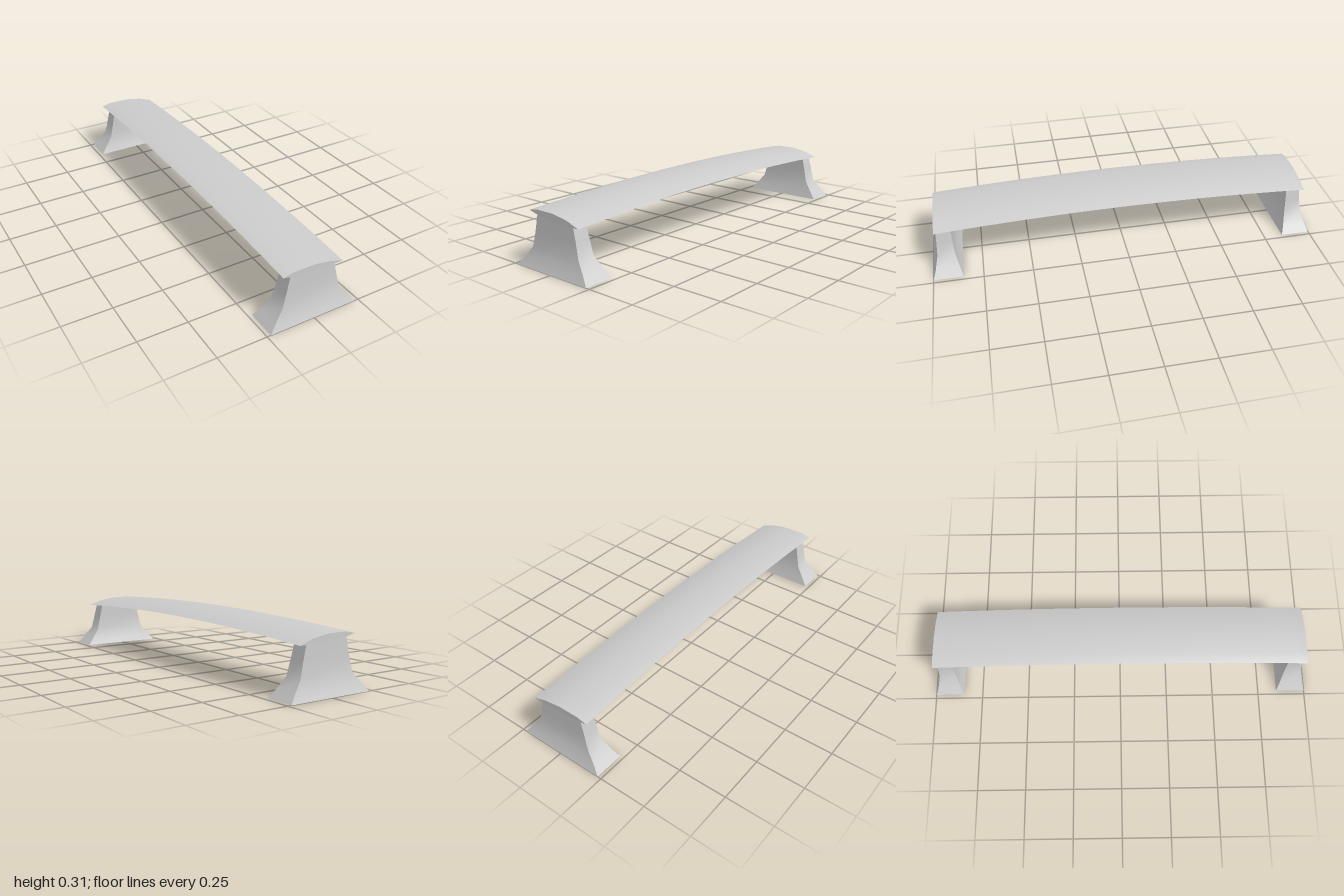
import * as THREE from 'three';
import { mergeGeometries } from 'three/addons/utils/BufferGeometryUtils.js';

// Smooth surface through rows of points; separate patches keep sharp edges between them.
function patch(rows) {
  const n = rows[0].length;
  const index = [];
  for (let i = 0; i < rows.length - 1; i++) {
    for (let j = 0; j < n - 1; j++) {
      const a = i * n + j, d = a + n;
      index.push(a, a + 1, d + 1, a, d + 1, d);
    }
  }
  const geometry = new THREE.BufferGeometry();
  geometry.setAttribute('position', new THREE.Float32BufferAttribute(rows.flat(2), 3));
  geometry.setIndex(index);
  geometry.computeVertexNormals();
  return geometry;
}

// Arched slab with a slightly tilted lens-shaped cross-section.
function slabGeometry() {
  const half = 0.968, rise = 0.031, steps = 32;
  const top = [[-0.162, 0.263], [-0.11, 0.274], [0, 0.274], [0.09, 0.259], [0.16, 0.235]];
  const bottom = [[-0.162, 0.263], [-0.11, 0.251], [0, 0.239], [0.09, 0.236], [0.16, 0.235]];
  const row = (profile, t) =>
    profile.map(([x, y]) => [x, y + rise * (1 - t * t), half * t]);
  const ts = Array.from({ length: steps + 1 }, (_, i) => -1 + (2 * i) / steps);
  return mergeGeometries([
    patch([...ts].reverse().map((t) => row(top, t))),
    patch(ts.map((t) => row(bottom, t))),
    patch([row(bottom, 1), row(top, 1)]),
    patch([row(top, -1), row(bottom, -1)]),
  ]);
}

// Flared pedestal; side is +1 at the front and -1 at the back.
function footGeometry(side) {
  // half width, y on the -x side, y on the +x side, outer z, inner z
  const levels = [
    [0.23, 0, 0, 1, 0.85],
    [0.2, 0.035, 0.035, 0.985, 0.863],
    [0.153, 0.093, 0.093, 0.968, 0.88],
    [0.135, 0.167, 0.167, 0.963, 0.885],
    [0.117, 0.256, 0.239, 0.96, 0.887],
  ];
  const rings = levels.map(([w, yl, yr, outer, inner]) => {
    const front = side > 0 ? outer : -inner;
    const back = side > 0 ? inner : -outer;
    return [[-w, yl, front], [w, yr, front], [w, yr, back], [-w, yl, back]];
  });
  const sides = [0, 1, 2, 3].map((k) => patch(rings.map((r) => [r[k], r[(k + 1) % 4]])));
  const [a, b, c, d] = rings[0];
  return mergeGeometries([...sides, patch([[d, c], [a, b]])]);
}

export function createModel() {
  const model = new THREE.Group();
  model.name = 'archedBench';
  const material = new THREE.MeshStandardMaterial({ color: 0xcccccc });
  const add = (name, geometry) => {
    const mesh = new THREE.Mesh(geometry, material);
    mesh.name = name;
    model.add(mesh);
  };
  add('seat', slabGeometry());
  add('frontFoot', footGeometry(1));
  add('backFoot', footGeometry(-1));
  return model;
}
